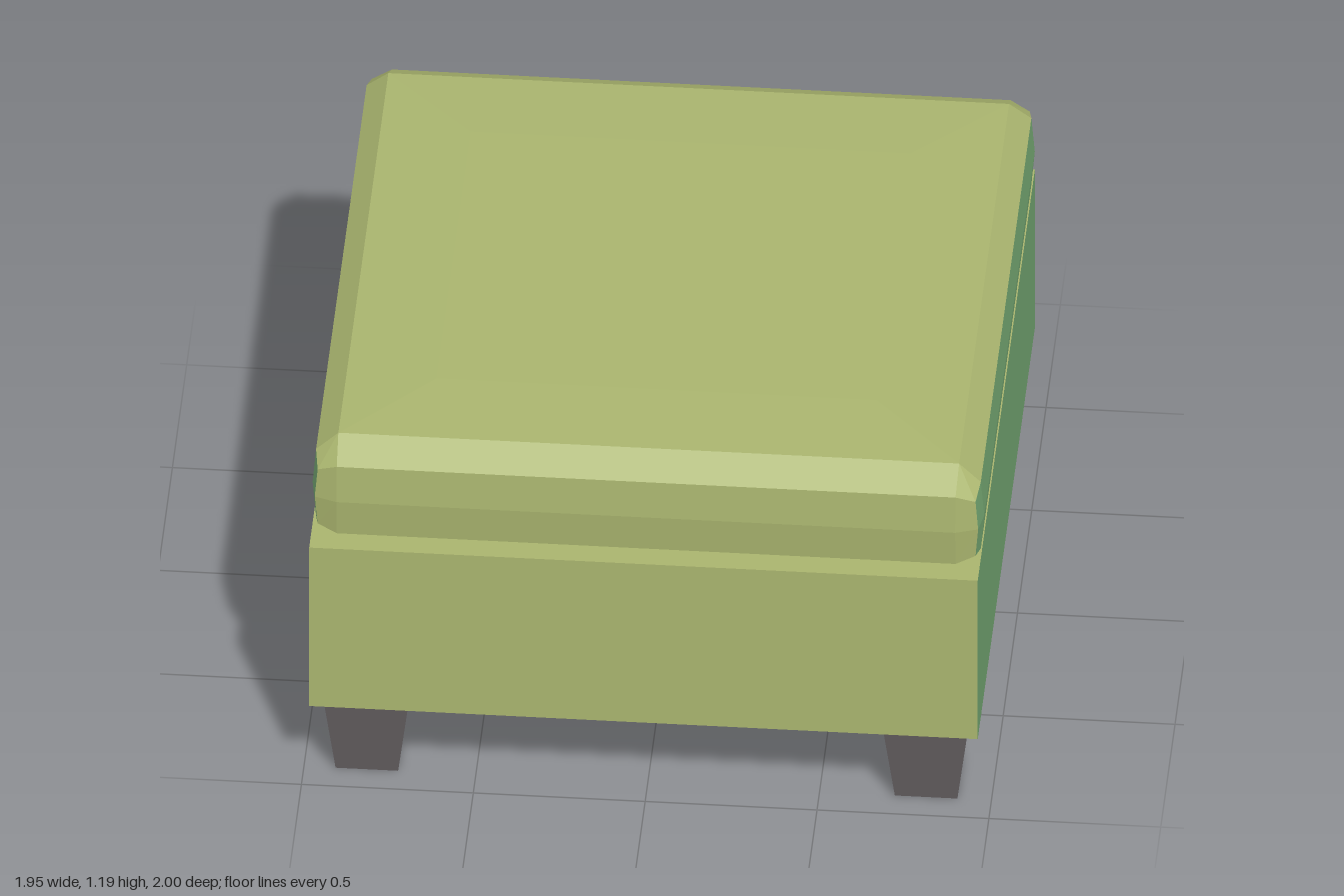
import * as THREE from 'three';

const flat = (name, color) => {
  const m = new THREE.MeshStandardMaterial({ color, flatShading: true });
  m.name = name;
  return m;
};

// Cushion cross-section: three points round each corner, anticlockwise from above
function ring(points, y, cornerY = y) {
  const out = [];
  [[1, -1], [-1, -1], [-1, 1], [1, 1]].forEach(([sx, sz], q) => {
    const corner = points.map(([x, z], k) => new THREE.Vector3(sx * x, k === 1 ? cornerY : y, sz * z));
    out.push(...(q % 2 ? corner.reverse() : corner));
  });
  return out;
}

function meshFrom(name, triangles, material) {
  const geo = new THREE.BufferGeometry().setFromPoints(triangles);
  geo.computeVertexNormals();
  const mesh = new THREE.Mesh(geo, material);
  mesh.name = name;
  return mesh;
}

function createCushion(olive, green) {
  const rounded = [[0.967, 0.885], [0.957, 0.95], [0.9, 0.967]];
  const bulge = [[0.977, 0.885], [0.965, 0.955], [0.9, 0.977]];
  const square = (x, z) => [[x, z], [x, z], [x, z]];
  const rings = [
    ring(square(0.9, 0.875), 0.83),
    ring(rounded, 0.89, 0.91),
    ring(bulge, 1.01),
    ring(rounded, 1.13, 1.105),
    ring(square(0.903, 0.875), 1.185),
    ring(square(0.64, 0.6), 1.194),
  ];
  const oliveTris = [], greenTris = [];
  const add = (list, a, b, c) => {
    if (!a.equals(b) && !b.equals(c) && !a.equals(c)) list.push(a, b, c);
  };
  for (let r = 0; r < rings.length - 1; r++) {
    for (let i = 0; i < 12; i++) {
      const j = (i + 1) % 12, lo = rings[r], hi = rings[r + 1];
      // Olive on the front band and everything above the sides
      const isFront = i >= 7 && i <= 9 && r >= 1;
      const list = r >= 3 || isFront ? oliveTris : greenTris;
      add(list, lo[i], lo[j], hi[j]);
      add(list, lo[i], hi[j], hi[i]);
    }
  }
  // Top and underside caps
  const top = rings[5], under = rings[0];
  add(oliveTris, top[0], top[3], top[6]);
  add(oliveTris, top[0], top[6], top[9]);
  add(greenTris, under[0], under[6], under[3]);
  add(greenTris, under[0], under[9], under[6]);

  const cushion = new THREE.Group();
  cushion.name = 'cushion';
  cushion.add(
    meshFrom('cushionTopAndFront', oliveTris, olive),
    meshFrom('cushionSidesAndBack', greenTris, green)
  );
  return cushion;
}

export function createModel() {
  const olive = flat('olive fabric', 0xa9b46e);
  const green = flat('green fabric', 0x75a873);
  const wood = flat('dark wood', 0x625d5f);
  const model = new THREE.Group();
  model.name = 'footstool';

  // Upholstered base: green left and right sides, olive elsewhere
  const base = new THREE.Mesh(
    new THREE.BoxGeometry(1.945, 0.573, 2),
    [green, green, olive, olive, olive, olive]
  );
  base.name = 'base';
  base.position.set(-0.005, 0.5715, 0);
  model.add(base, createCushion(olive, green));

  // Tapered square legs
  const legGeo = new THREE.CylinderGeometry(0.126 * Math.SQRT2, 0.091 * Math.SQRT2, 0.285, 4)
    .rotateY(Math.PI / 4);
  for (const x of [-0.817, 0.81]) {
    for (const z of [-0.815, 0.82]) {
      const leg = new THREE.Mesh(legGeo, wood);
      leg.name = (z > 0 ? 'front' : 'back') + (x > 0 ? 'Left' : 'Right') + 'Leg';
      leg.position.set(x, 0.1425, z);
      model.add(leg);
    }
  }
  return model;
}
